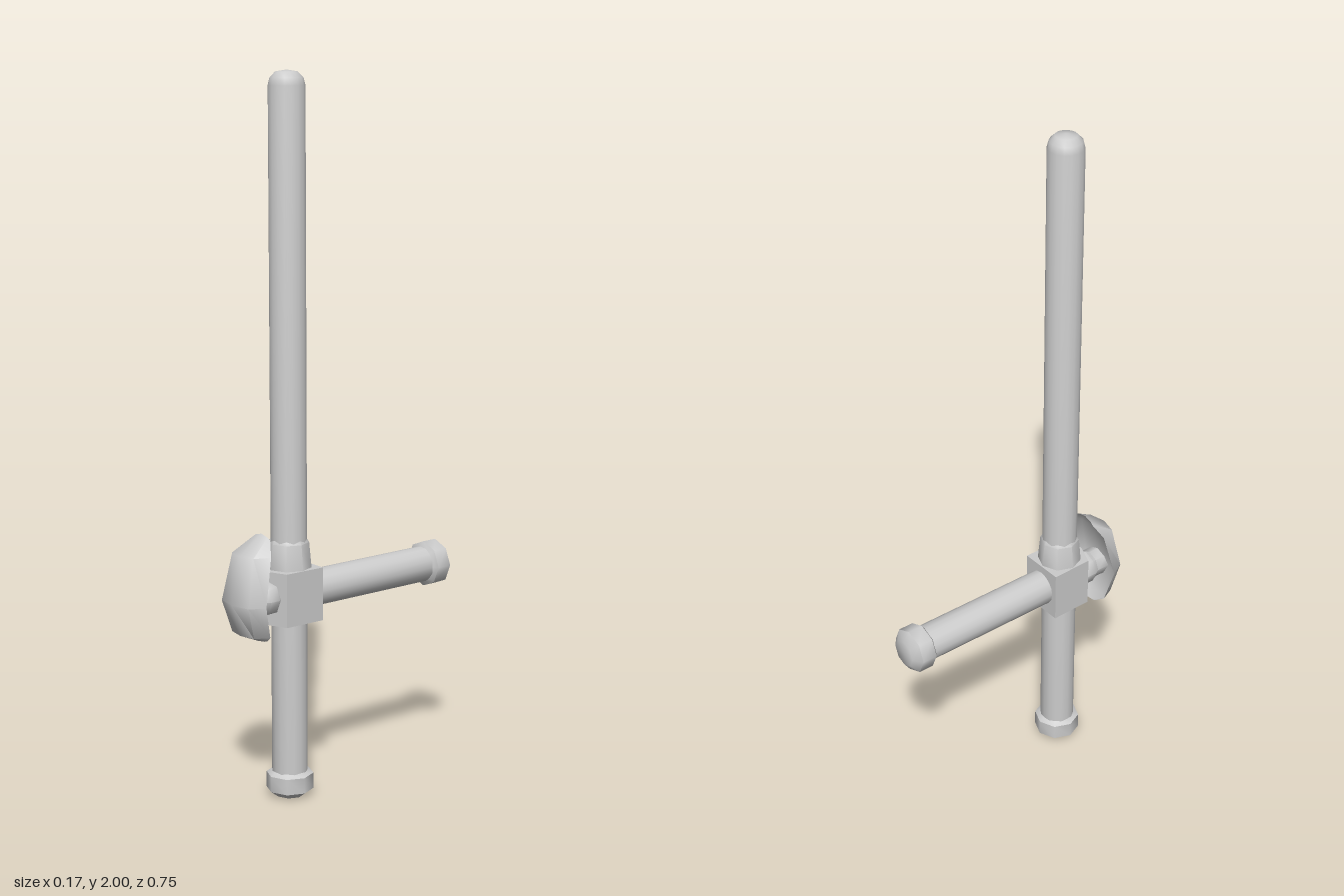
import * as THREE from 'three';
import { toCreasedNormals } from 'three/addons/utils/BufferGeometryUtils.js';

const SHAFT_Z = 0.18, GRIP_Y = 0.583;
const material = new THREE.MeshStandardMaterial({ color: 0xcccccc });
const thin = new THREE.MeshStandardMaterial({ color: 0xcccccc, side: THREE.DoubleSide });

function part(name, geometry, mat = material) {
  const mesh = new THREE.Mesh(geometry, mat);
  mesh.name = name;
  return mesh;
}

// Turned part; profile is [radius, height] from bottom to top
function turned(name, profile, sides, crease = 0.8) {
  const points = profile.map(([r, y]) => new THREE.Vector2(r, y));
  return part(name, toCreasedNormals(new THREE.LatheGeometry(points, sides), crease));
}

// Chamfered knob: rounded end at 0, shoulder where it meets the rod
const knobProfile = [[0, 0], [0.04, 0], [0.066, 0.019], [0.066, 0.064], [0.05, 0.074]];

// Curved hand guard: rows of [y, half width, centre z, rim z, bend of the row ends]
const guardRows = [
  [0.466, 0.04, 0.288, 0.286, 0.008],
  [0.492, 0.068, 0.349, 0.298, 0],
  [0.582, 0.083, 0.376, 0.322, 0],
  [0.714, 0.066, 0.349, 0.292, 0],
  [0.765, 0.036, 0.274, 0.272, -0.012],
];

function guardGeometry() {
  const positions = [], index = [];
  const across = [-1, -0.72, 0, 0.72, 1];
  const rows = guardRows.length, cols = across.length;
  for (const back of [0, 1]) {
    guardRows.forEach(([y, w, zc, ze, bend], r) => {
      const inner = r > 0 && r < rows - 1;
      across.forEach((u, c) => {
        const a = Math.abs(u);
        const rise = a === 1 ? 0 : a > 0 ? 0.8 : 1;
        const depth = back && inner ? 0.25 : 1;
        positions.push(u * w, y + bend * a * a, ze + (zc - ze) * rise * depth);
      });
    });
    const base = back * rows * cols;
    for (let r = 0; r < rows - 1; r++) for (let c = 0; c < cols - 1; c++) {
      const p = base + r * cols + c, q = p + cols;
      if (back) index.push(p, q, p + 1, p + 1, q, q + 1);
      else index.push(p, p + 1, q, p + 1, q + 1, q);
    }
  }
  const g = new THREE.BufferGeometry();
  g.setAttribute('position', new THREE.Float32BufferAttribute(positions, 3));
  g.setIndex(index);
  return toCreasedNormals(g, 0.9);
}

export function createModel() {
  const model = new THREE.Group();
  model.name = 'sideHandleBaton';

  // Upright rod with domed tip, end knob and tapered collar
  const upright = new THREE.Group();
  upright.name = 'upright';
  upright.position.z = SHAFT_Z;
  upright.add(
    turned('shaft', [[0.05, 0.07], [0.05, 1.96], [0.045, 1.98], [0.03, 1.995], [0, 2]], 16),
    turned('shaftKnob', knobProfile, 8),
    turned('collar', [[0.063, 0.65], [0.056, 0.728], [0.05, 0.738]], 8),
  );
  model.add(upright);

  // Joint block with a pointed front
  const outline = new THREE.Shape();
  [[-0.066, -0.113], [-0.064, -0.237], [0, -0.262], [0.064, -0.237], [0.066, -0.113]]
    .forEach(([x, y], i) => (i ? outline.lineTo(x, y) : outline.moveTo(x, y)));
  const block = part('jointBlock', new THREE.ExtrudeGeometry(outline, { depth: 0.15, bevelEnabled: false }));
  block.rotation.x = -Math.PI / 2;
  block.position.y = 0.507;
  model.add(block);

  // Side grip running backwards, with the same knob
  const grip = new THREE.Group();
  grip.name = 'sideGrip';
  grip.add(
    turned('gripRod', [[0.051, 0.06], [0.051, 0.51]], 16),
    turned('gripKnob', knobProfile, 8),
  );
  grip.rotation.x = Math.PI / 2;
  grip.position.set(0, GRIP_Y, -0.378);
  model.add(grip);

  // Short stub carrying the hand guard
  const stub = turned('guardStub', [[0, 0], [0.04, 0], [0.05, 0.015], [0.05, 0.045], [0.042, 0.06], [0.042, 0.1], [0, 0.1]], 8);
  stub.rotation.x = Math.PI / 2;
  stub.position.set(0, GRIP_Y, 0.235);
  model.add(stub);
  model.add(part('handGuard', guardGeometry(), thin));

  return model;
}
